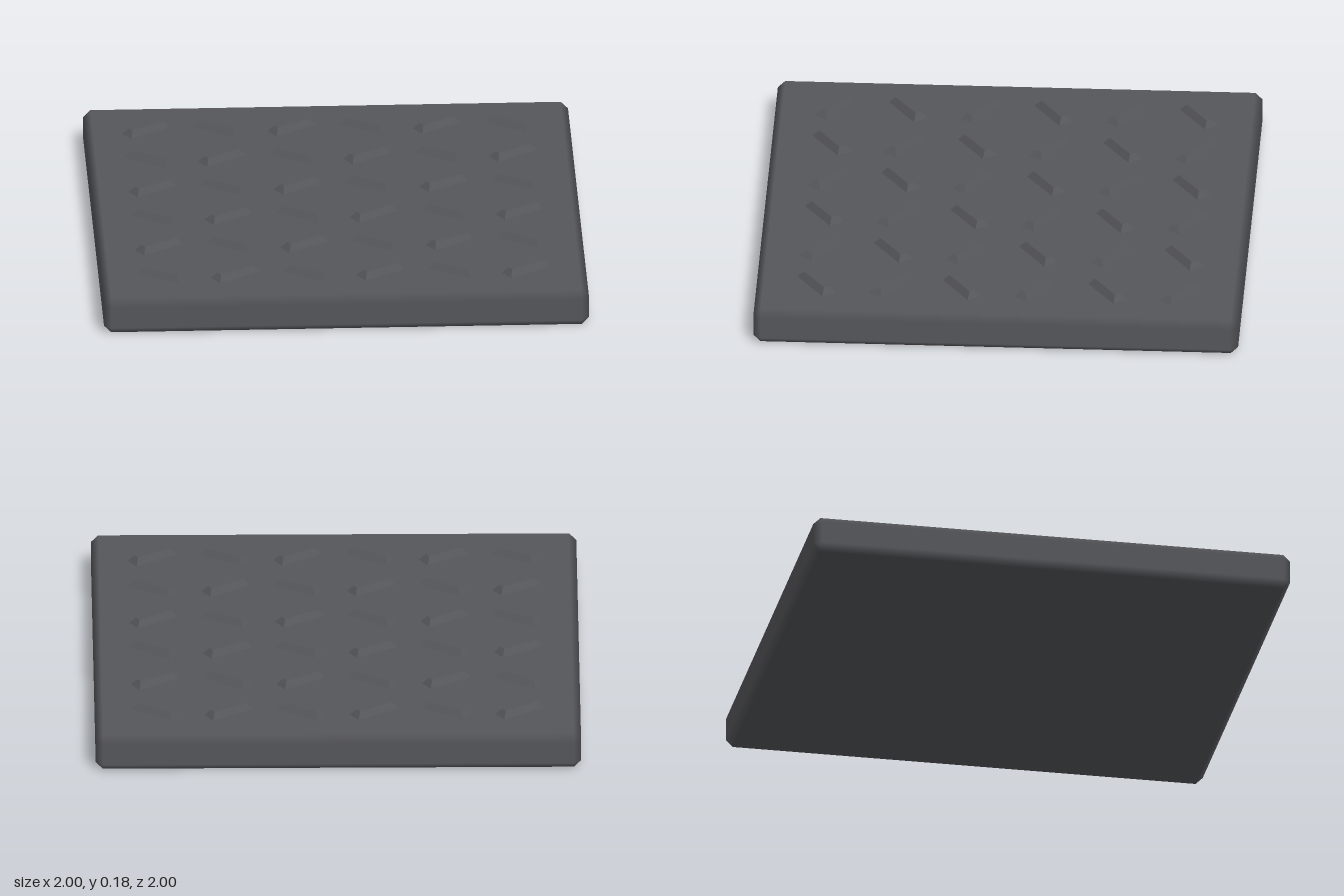
import * as THREE from 'three';
import { ConvexGeometry } from 'three/addons/geometries/ConvexGeometry.js';

const HEIGHT = 0.152, BEVEL = 0.03;
const STUD = { length: 0.2, width: 0.066, height: 0.027, inset: 0.02, angle: THREE.MathUtils.degToRad(34) };

// Box with chamfered edges; normals follow the main faces so the chamfers shade softly
function chamferedBox(w, h, d, bevel) {
  const half = [w / 2, h / 2, d / 2];
  const points = [];
  for (const sx of [-1, 1]) for (const sy of [-1, 1]) for (const sz of [-1, 1]) {
    const sign = [sx, sy, sz];
    for (let axis = 0; axis < 3; axis++) {
      points.push(new THREE.Vector3(...half.map((v, k) => sign[k] * (k === axis ? v : v - bevel))));
    }
  }
  const geometry = new ConvexGeometry(points);
  const pos = geometry.attributes.position;
  for (let i = 0; i < pos.count; i++) {
    const p = [pos.getX(i), pos.getY(i), pos.getZ(i)];
    const n = p.map((v, k) => (Math.abs(v) > half[k] - bevel / 2 ? Math.sign(v) : 0));
    geometry.attributes.normal.setXYZ(i, ...n);
  }
  return geometry;
}

// Bar whose top is inset equally on all four sides
function taperedBar({ length, width, height, inset }) {
  const geometry = new THREE.BoxGeometry(length, height, width);
  geometry.translate(0, height / 2, 0);
  const pos = geometry.attributes.position;
  for (let i = 0; i < pos.count; i++) {
    if (pos.getY(i) < height / 2) continue;
    pos.setX(i, pos.getX(i) - Math.sign(pos.getX(i)) * inset);
    pos.setZ(i, pos.getZ(i) - Math.sign(pos.getZ(i)) * inset);
  }
  geometry.computeVertexNormals();
  return geometry;
}

export function createModel() {
  const model = new THREE.Group();
  model.name = 'treadPlate';

  // Slab
  const slab = new THREE.Mesh(
    chamferedBox(2, HEIGHT, 2, BEVEL),
    new THREE.MeshStandardMaterial({ color: 0x55565a })
  );
  slab.name = 'slab';
  slab.position.y = HEIGHT / 2;
  model.add(slab);

  // Raised grip bars, alternating direction in a checkerboard
  const bars = new THREE.Group();
  bars.name = 'gripBars';
  const barGeometry = taperedBar(STUD);
  const barMaterial = new THREE.MeshStandardMaterial({ color: 0x55565a, flatShading: true });
  for (let row = 0; row < 6; row++) {
    for (let col = 0; col < 6; col++) {
      const bar = new THREE.Mesh(barGeometry, barMaterial);
      bar.name = 'gripBar';
      bar.position.set(-0.75 + col * 0.3, HEIGHT, -0.75 + row * 0.3);
      bar.rotation.y = (row + col) % 2 === 0 ? STUD.angle : -STUD.angle;
      bars.add(bar);
    }
  }
  model.add(bars);
  return model;
}
